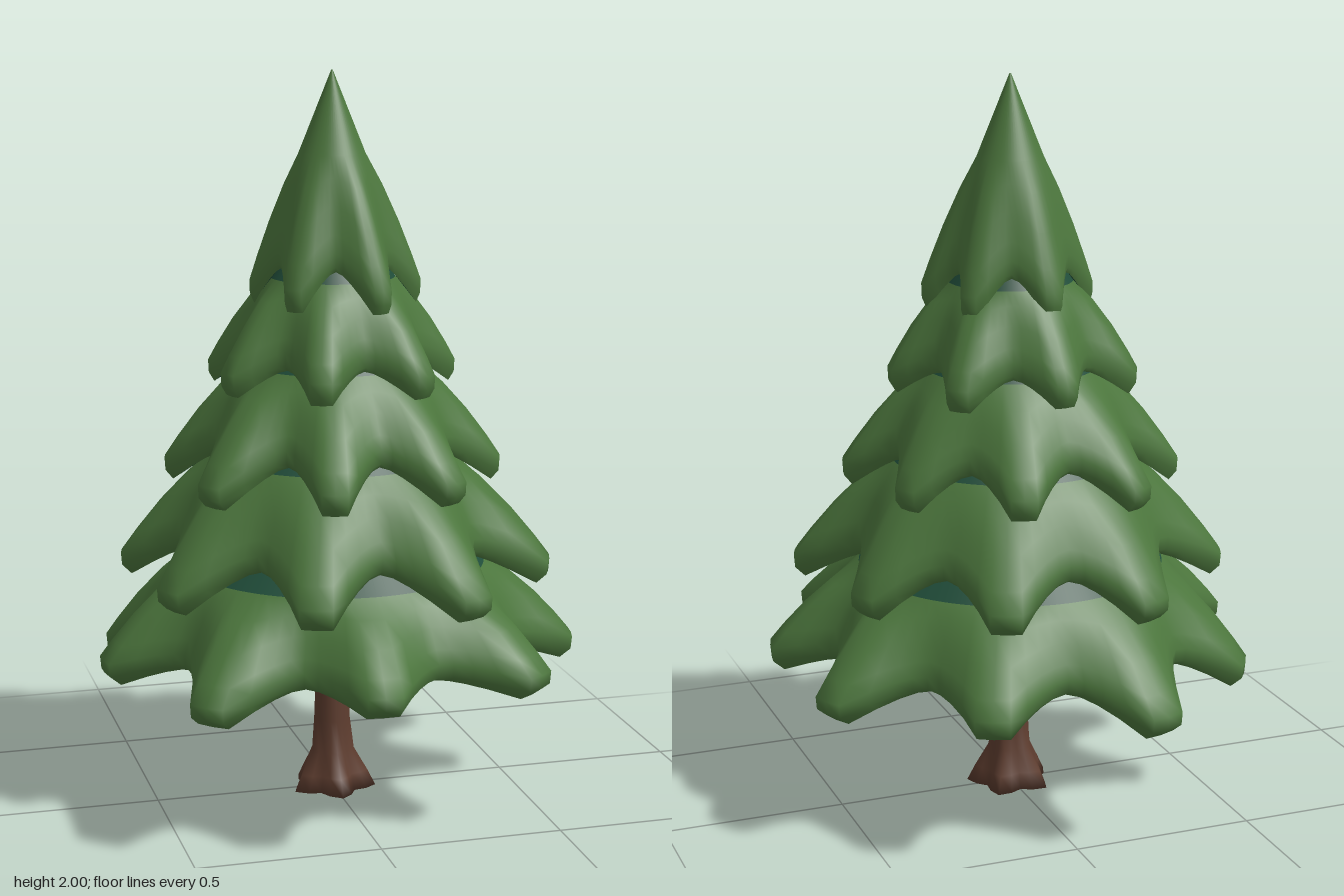
import * as THREE from 'three';

const { lerp, degToRad } = THREE.MathUtils;

const mat = (name, color) => {
  const m = new THREE.MeshStandardMaterial({ color });
  m.name = name;
  return m;
};

// Star wave from branch tip (1) to valley (0), sampled in even steps
const WAVE = [1, 0.99, 0.56, 0.27, 0.08, 0];
const STEPS = 10;

// Closed surface of rings; point(i, j) returns [radius, y, angle]
function ringSurface(rows, cols, point) {
  const pos = [], index = [];
  for (let i = 0; i < rows; i++)
    for (let j = 0; j < cols; j++) {
      const [r, y, a] = point(i, j);
      pos.push(r * Math.cos(a), y, r * Math.sin(a));
    }
  for (let i = 0; i < rows - 1; i++)
    for (let j = 0; j < cols; j++) {
      const k = (j + 1) % cols;
      const a = i * cols + j, b = i * cols + k, c = a + cols, d = b + cols;
      index.push(a, b, c, b, d, c);
    }
  const g = new THREE.BufferGeometry();
  g.setAttribute('position', new THREE.Float32BufferAttribute(pos, 3));
  g.setIndex(index);
  g.computeVertexNormals();
  return g;
}

// top / inner / valley are [radius, height] of the skirt profile,
// tips are [degrees, radius, height] of each branch
const TIERS = [
  {
    top: [0.2, 0.88], inner: [0.42, 0.665], valley: [0.52, 0.49], hollow: 0.64,
    tips: [[13, 0.67, 0.44], [52, 0.69, 0.455], [93, 0.655, 0.465], [133, 0.685, 0.43], [174, 0.66, 0.44],
      [211, 0.66, 0.4], [253, 0.67, 0.4], [295, 0.64, 0.43], [336, 0.68, 0.425]],
  },
  {
    top: [0.15, 1.16], inner: [0.325, 0.965], valley: [0.435, 0.77], hollow: 0.86,
    tips: [[22, 0.6, 0.68], [66, 0.605, 0.675], [109, 0.57, 0.675], [154, 0.575, 0.67], [198, 0.585, 0.68],
      [247, 0.555, 0.67], [292, 0.54, 0.68], [337, 0.545, 0.675]],
  },
  {
    top: [0.1, 1.39], inner: [0.235, 1.215], valley: [0.34, 1.035], hollow: 1.1,
    tips: [[16, 0.46, 0.955], [61, 0.47, 0.95], [104, 0.465, 0.95], [147, 0.48, 0.945], [198, 0.46, 0.95],
      [240, 0.455, 0.945], [286, 0.435, 0.955], [332, 0.425, 0.95]],
  },
  {
    top: [0.06, 1.63], inner: [0.17, 1.45], valley: [0.25, 1.275], hollow: 1.32,
    tips: [[8, 0.335, 1.22], [58, 0.345, 1.215], [110, 0.34, 1.215], [159, 0.345, 1.215], [209, 0.345, 1.21],
      [263, 0.322, 1.22], [315, 0.34, 1.215]],
  },
  {
    top: [0.002, 2], inner: [0.09, 1.78], valley: [0.17, 1.53], hollow: 1.57,
    tips: [[13, 0.24, 1.44], [72, 0.25, 1.435], [131, 0.235, 1.44], [192, 0.223, 1.44], [259, 0.22, 1.445], [320, 0.23, 1.44]],
  },
];

function makeTier(t, topMaterial, leaf, under) {
  const group = new THREE.Group();
  const n = t.tips.length, cols = n * STEPS;

  // Angle, wave and rim position of every column
  const columns = Array.from({ length: cols }, (_, j) => {
    const k = Math.floor(j / STEPS), m = j % STEPS;
    const from = t.tips[k], to = t.tips[(k + 1) % n];
    const toAngle = to[0] + (k === n - 1 ? 360 : 0);
    const tip = m <= STEPS / 2 ? from : to;
    const s = WAVE[Math.min(m, STEPS - m)];
    return {
      s,
      a: degToRad(lerp(from[0], toAngle, m / STEPS)),
      r: lerp(t.valley[0], tip[1], s),
      y: lerp(t.valley[1], tip[2], s),
    };
  });
  const lip = c => [c.r * 0.95, c.y - 0.048 - 0.012 * c.s];

  // Needle skirt: from the top ring over the shoulder to a rolled lip
  const spread = [0, 0.3, 0.6, 0.85, 1];
  const skirt = ringSurface(8, cols, (i, j) => {
    const c = columns[j];
    if (i === 0) return [...t.top, c.a];
    if (i === 6) return [c.r * 0.995, c.y - 0.035, c.a];
    if (i === 7) return [...lip(c), c.a];
    const f = spread[i - 1];
    const bulge = 0.09 * f * (1 - f);
    return [lerp(t.inner[0], c.r, f), lerp(t.inner[1], c.y, f) + bulge, c.a];
  });
  const band = cols * 6;
  skirt.addGroup(0, band, 0);
  skirt.addGroup(band, skirt.index.count - band, 1);
  const needles = new THREE.Mesh(skirt, [topMaterial, leaf]);
  needles.name = 'needleSkirt';

  // Hollow underside, rising from the lip towards the trunk
  const hollow = ringSurface(4, cols, (i, j) => {
    const f = i / 3, c = columns[j], [r, y] = lip(c);
    return [lerp(r, 0.03, f), lerp(y, t.hollow, f * (1.5 - 0.5 * f)), c.a];
  });
  const underside = new THREE.Mesh(hollow, under);
  underside.name = 'underside';
  group.add(needles, underside);
  return group;
}

function makeTrunk(bark) {
  // Slim stem flaring into five blunt roots
  const profile = [[0.035, 0.7], [0.042, 0.42], [0.05, 0.2], [0.058, 0.11], [0.085, 0.045], [0.102, 0], [0.001, 0]];
  const lobe = [0, 0, 0, 0.06, 0.17, 0.2, 0];
  const cols = 20;
  const g = ringSurface(profile.length, cols, (i, j) => {
    const a = (j / cols) * Math.PI * 2;
    return [profile[i][0] * (1 + lobe[i] * Math.cos(5 * (a - Math.PI / 2))), profile[i][1], a];
  });
  const trunk = new THREE.Mesh(g, bark);
  trunk.name = 'trunk';
  return trunk;
}

export function createModel() {
  const model = new THREE.Group();
  model.name = 'pineTree';
  const leaf = mat('needleGreen', 0x4c763d);
  const shade = mat('shadedNeedleGreen', 0x204c39);
  const bark = mat('barkBrown', 0x5e3d2f);
  TIERS.forEach((t, i) => {
    // Shaded needles show only where a tier tucks under the next one
    const isCrown = i === TIERS.length - 1;
    const tier = makeTier(t, isCrown ? leaf : shade, leaf, shade);
    tier.name = 'branchTier' + (i + 1);
    model.add(tier);
  });
  model.add(makeTrunk(bark));
  return model;
}
